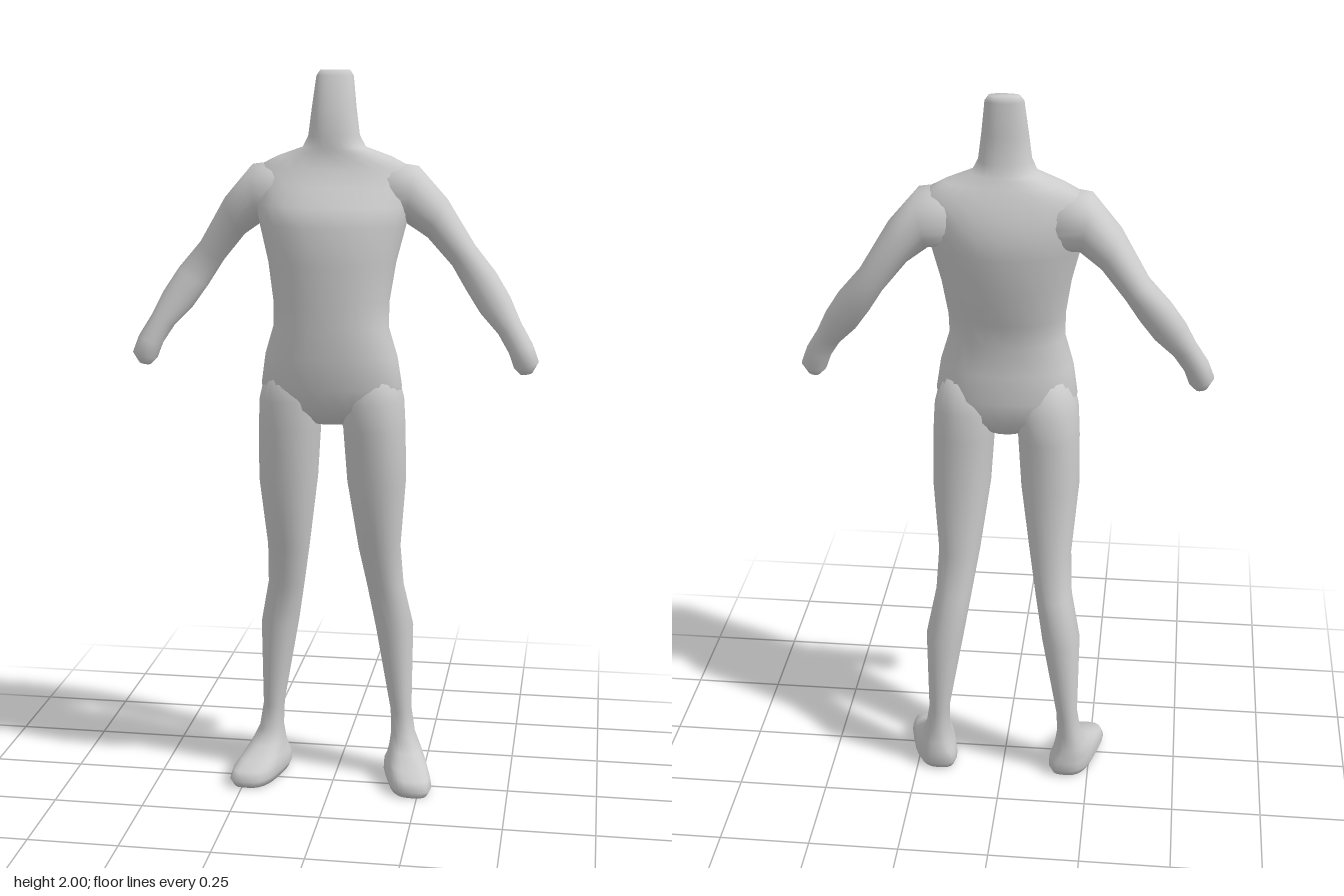
import * as THREE from 'three';

const SEGMENTS = 24;
const power = (v, e) => Math.sign(v) * Math.pow(Math.abs(v), e);

// Skin a list of rings running downwards. Each ring spans (x0, y0) to (x1, y1),
// reaches from back to front in z, and may be squared off or sheared outwards.
function loft(rings) {
  const points = [], faces = [];
  for (const { x0, y0, x1, y1, front, back, round = 0.92, shear = 0 } of rings) {
    const zMid = (front + back) / 2, depth = (front - back) / 2;
    for (let i = 0; i < SEGMENTS; i++) {
      const t = (i / SEGMENTS) * Math.PI * 2;
      const c = power(Math.cos(t), round), s = power(Math.sin(t), round);
      points.push(
        (x0 + x1) / 2 + ((x1 - x0) / 2) * c + shear * depth * s,
        (y0 + y1) / 2 + ((y1 - y0) / 2) * c,
        zMid + depth * s);
    }
  }
  for (let r = 0; r < rings.length - 1; r++) {
    for (let i = 0; i < SEGMENTS; i++) {
      const j = (i + 1) % SEGMENTS;
      const a = r * SEGMENTS + i, b = r * SEGMENTS + j;
      const c = a + SEGMENTS, d = b + SEGMENTS;
      faces.push(a, b, c, b, d, c);
    }
  }
  // close both ends with a fan
  [0, rings.length - 1].forEach((r, end) => {
    const ring = rings[r], centre = points.length / 3;
    points.push((ring.x0 + ring.x1) / 2, (ring.y0 + ring.y1) / 2, (ring.front + ring.back) / 2);
    for (let i = 0; i < SEGMENTS; i++) {
      const a = r * SEGMENTS + i, b = r * SEGMENTS + ((i + 1) % SEGMENTS);
      if (end === 0) faces.push(centre, b, a);
      else faces.push(centre, a, b);
    }
  });
  const geometry = new THREE.BufferGeometry();
  geometry.setAttribute('position', new THREE.Float32BufferAttribute(points, 3));
  geometry.setIndex(faces);
  geometry.computeVertexNormals();
  return geometry;
}

// Mirror rings to the other side, keeping the lower x first
const mirror = (rings) => rings.map((r) => ({
  ...r, x0: -r.x1, y0: r.y1, x1: -r.x0, y1: r.y0, shear: -(r.shear ?? 0),
}));

export function createModel() {
  const group = new THREE.Group();
  const material = new THREE.MeshStandardMaterial({ color: 0xcccccc });
  const add = (name, rings) => {
    const mesh = new THREE.Mesh(loft(rings), material);
    mesh.name = name;
    group.add(mesh);
  };

  // Neck and trunk: height, half width, front, back
  const trunk = [
    [2.0, 0.04, -0.02, -0.055],
    [1.985, 0.05, -0.005, -0.064],
    [1.9, 0.06, 0.028, -0.066],
    [1.83, 0.069, 0.04, -0.075],
    [1.8, 0.085, 0.04, -0.088],
    [1.775, 0.155, 0.042, -0.1],
    [1.745, 0.213, 0.05, -0.115],
    [1.7, 0.215, 0.078, -0.132],
    [1.65, 0.21, 0.122, -0.142],
    [1.6, 0.197, 0.146, -0.14],
    [1.5, 0.172, 0.15, -0.122],
    [1.4, 0.157, 0.15, -0.093],
    [1.33, 0.156, 0.15, -0.073],
    [1.25, 0.18, 0.147, -0.078],
    [1.17, 0.192, 0.138, -0.082],
    [1.11, 0.18, 0.118, -0.072],
    [1.065, 0.06, 0.075, -0.04],
  ].map(([y, w, front, back]) => ({ x0: -w, y0: y, x1: w, y1: y, front, back }));
  add('trunk', trunk);

  // Arm: underside point, upper point, front, back
  const arm = [
    [0.1, 1.6, 0.13, 1.765, 0.05, -0.11],
    [0.195, 1.6, 0.223, 1.752, 0.05, -0.115],
    [0.25, 1.562, 0.3, 1.664, 0.028, -0.12],
    [0.315, 1.485, 0.375, 1.54, -0.012, -0.118],
    [0.355, 1.42, 0.435, 1.468, -0.002, -0.102],
    [0.395, 1.362, 0.475, 1.405, 0.015, -0.083],
    [0.445, 1.31, 0.505, 1.342, 0.025, -0.055],
    [0.475, 1.262, 0.539, 1.285, 0.04, -0.04],
    [0.49, 1.222, 0.556, 1.24, 0.043, -0.035],
    [0.508, 1.204, 0.54, 1.21, 0.022, -0.015],
  ].map(([x0, y0, x1, y1, front, back]) => ({ x0, y0, x1, y1, front, back }));
  add('leftArm', arm);
  add('rightArm', mirror(arm));

  // Leg and foot: height, inner x, outer x, front, back, squareness, outward shear
  const leg = [
    [1.22, 0.03, 0.175, 0.11, -0.055],
    [1.13, 0.012, 0.197, 0.124, -0.082],
    [1.05, 0.032, 0.201, 0.115, -0.081],
    [0.9, 0.042, 0.203, 0.098, -0.08],
    [0.7, 0.07, 0.186, 0.05, -0.092],
    [0.58, 0.09, 0.192, 0.005, -0.115],
    [0.45, 0.112, 0.218, -0.015, -0.146],
    [0.2, 0.156, 0.215, -0.035, -0.13],
    [0.13, 0.158, 0.226, -0.034, -0.124],
    [0.09, 0.153, 0.245, -0.006, -0.128, 0.85, 0.1],
    [0.06, 0.15, 0.262, 0.045, -0.131, 0.75, 0.2],
    [0.045, 0.149, 0.27, 0.087, -0.132, 0.7, 0.25],
    [0.02, 0.149, 0.275, 0.1, -0.132, 0.65, 0.25],
    [0, 0.157, 0.265, 0.09, -0.122, 0.65, 0.25],
  ].map(([y, x0, x1, front, back, round, shear]) => ({ x0, y0: y, x1, y1: y, front, back, round, shear }));
  add('leftLegAndFoot', leg);
  add('rightLegAndFoot', mirror(leg));

  return group;
}
